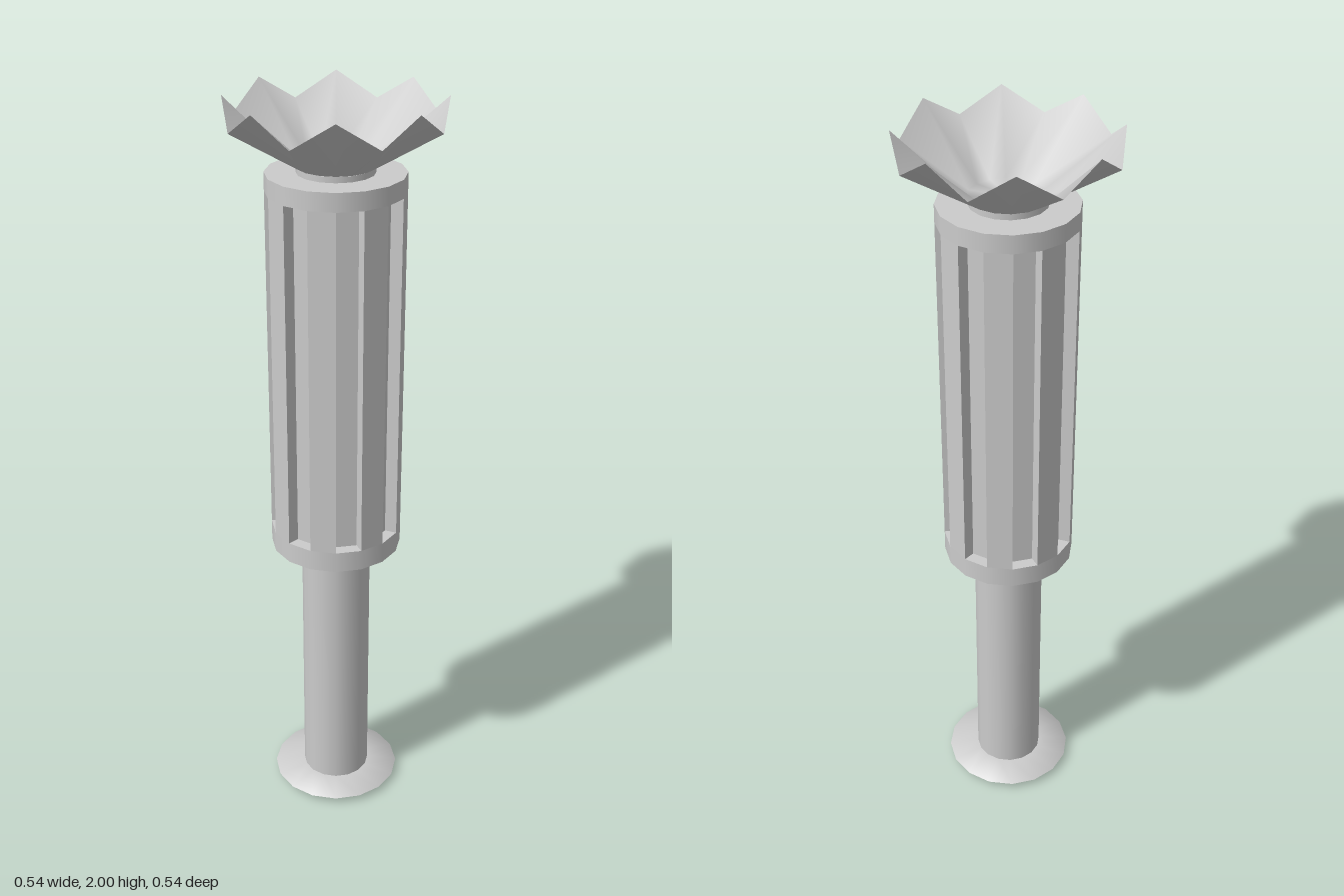
import * as THREE from 'three';
import { mergeVertices } from 'three/addons/utils/BufferGeometryUtils.js';

const SIDES = 16;
const material = new THREE.MeshStandardMaterial({ color: 0xcccccc });
const thinMaterial = new THREE.MeshStandardMaterial({ color: 0xcccccc, side: THREE.DoubleSide });

export function createModel() {
  const model = new THREE.Group();

  const add = (name, geometry, mat = material) => {
    const mesh = new THREE.Mesh(geometry, mat);
    mesh.name = name;
    model.add(mesh);
  };
  const drum = (name, radius, bottom, top) => {
    const geometry = new THREE.CylinderGeometry(radius, radius, top - bottom, SIDES);
    add(name, geometry.translate(0, (bottom + top) / 2, 0));
  };
  const lathe = (points) =>
    new THREE.LatheGeometry(points.map(([r, y]) => new THREE.Vector2(r, y)), SIDES);

  // Thin lens-shaped foot
  add('foot', lathe([[0, 0], [0.13, 0.004], [0.178, 0.018], [0.093, 0.03]]), thinMaterial);

  // Shaft, end collars of the grip, and the neck below the crown
  drum('shaft', 0.093, 0.012, 0.8);
  drum('lowerCollar', 0.175, 0.79, 0.847);
  drum('upperCollar', 0.175, 1.77, 1.817);
  drum('neck', 0.098, 1.81, 1.832);

  // Grip: raised and recessed panels alternate around the axis
  const outline = [];
  for (let i = 0; i < SIDES; i++) {
    const radius = i % 2 ? 0.143 : 0.175;
    for (const k of [i, i + 1]) {
      const a = (k / SIDES) * Math.PI * 2;
      outline.push(new THREE.Vector2(radius * Math.sin(a), -radius * Math.cos(a)));
    }
  }
  const grip = new THREE.ExtrudeGeometry(new THREE.Shape(outline), {
    depth: 1.77 - 0.847, bevelEnabled: false,
  });
  add('flutedGrip', grip.rotateX(-Math.PI / 2).translate(0, 0.847, 0));

  // Crown: open bowl whose rim rises to a point at every other corner
  const profile = [[0, 1.832], [0.1, 1.833], [0.27, 1.935]];
  let crown = lathe(profile);
  const pos = crown.attributes.position;
  for (let i = 0; i < pos.count; i++) {
    const isRim = i % profile.length === profile.length - 1;
    const column = Math.floor(i / profile.length);
    if (isRim && column % 2 === 1) pos.setY(i, 2);
  }
  crown.deleteAttribute('uv');
  crown.deleteAttribute('normal');
  crown = mergeVertices(crown);
  crown.computeVertexNormals();
  add('crown', crown, thinMaterial);

  return model;
}
